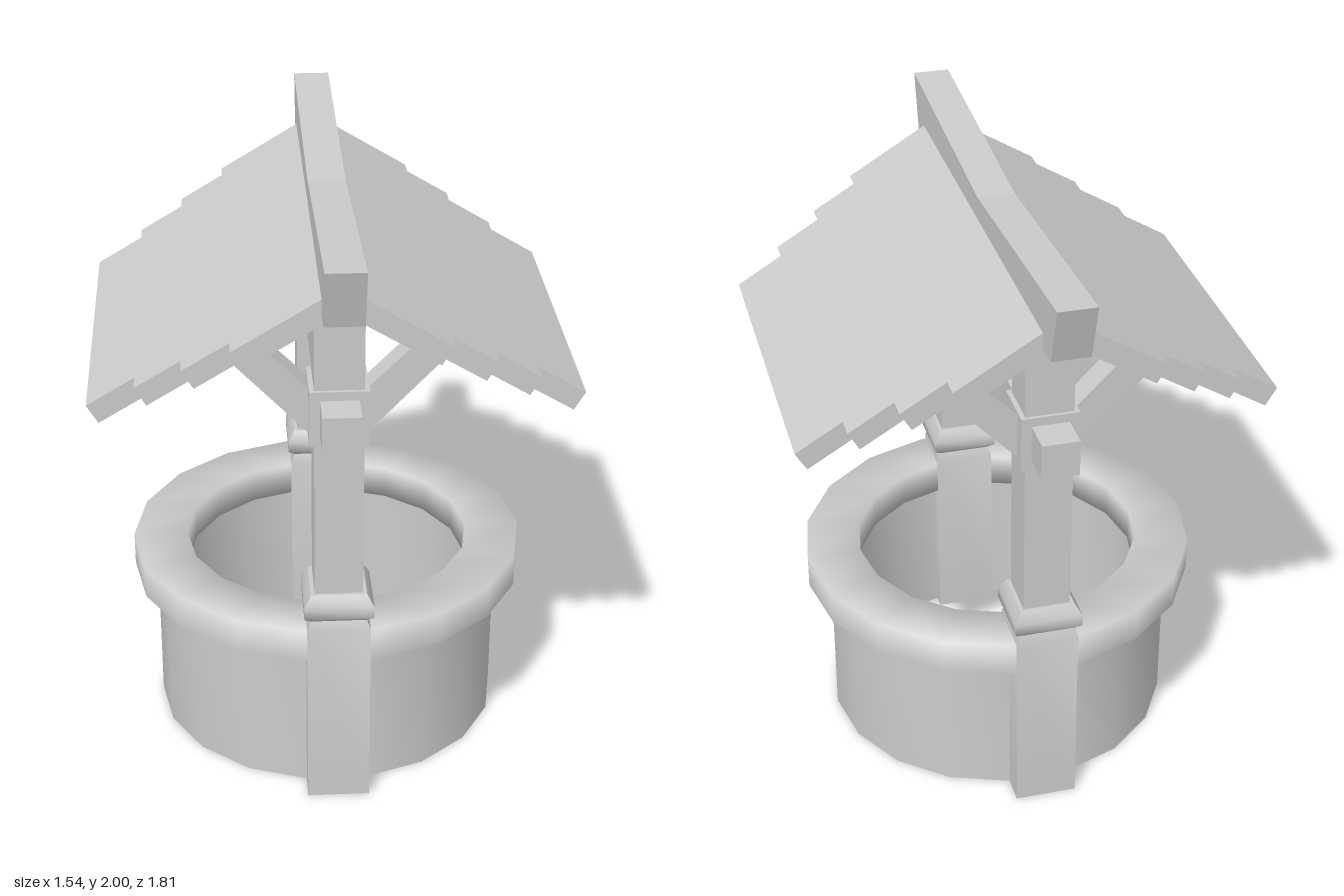
import * as THREE from 'three';
import { toCreasedNormals } from 'three/addons/utils/BufferGeometryUtils.js';

const smooth = new THREE.MeshStandardMaterial({ color: 0xcccccc });
const flat = new THREE.MeshStandardMaterial({ color: 0xcccccc, flatShading: true });
const POST_Z = 0.565;

function add(parent, name, geometry, material = flat) {
  const mesh = new THREE.Mesh(geometry, material);
  mesh.name = name;
  parent.add(mesh);
  return mesh;
}

function box(parent, name, w, h, d, x, y, z) {
  const mesh = add(parent, name, new THREE.BoxGeometry(w, h, d));
  mesh.position.set(x, y, z);
  return mesh;
}

const toVectors = (points) => points.map(([x, y]) => new THREE.Vector2(x, y));

// Outline in x/y, extruded symmetrically along z
function slab(points, depth) {
  const geometry = new THREE.ExtrudeGeometry(new THREE.Shape(toVectors(points)), { depth, bevelEnabled: false });
  return geometry.translate(0, 0, -depth / 2);
}

// Closed ring of rectangular section
function ring(inner, outer, y0, y1) {
  const profile = toVectors([[outer, y0], [outer, y1], [inner, y1], [inner, y0], [outer, y0]]);
  return new THREE.LatheGeometry(profile, 18, Math.PI / 2).scale(1, 1, 0.985);
}

// Square column from [half width, y] pairs, with closed ends
function squareColumn(profile) {
  const points = profile.map(([half, y]) => [half * Math.SQRT2, y]);
  const closed = [[0, profile[0][1]], ...points, [0, profile[profile.length - 1][1]]];
  return toCreasedNormals(new THREE.LatheGeometry(toVectors(closed), 4, Math.PI / 4), 0.9);
}

function createPost(side) {
  const post = new THREE.Group();
  post.name = side > 0 ? 'frontPost' : 'backPost';
  post.position.z = side * POST_Z;
  add(post, 'postBase', squareColumn([[0.102, 0], [0.102, 0.655], [0.088, 0.69]]), smooth);
  add(post, 'postCollar', squareColumn([[0.09, 0.685], [0.112, 0.705], [0.112, 0.745], [0.09, 0.782]]), smooth);
  box(post, 'postShaft', 0.155, 1.1, 0.158, 0, 1.28, 0);
  box(post, 'beamBracket', 0.186, 0.185, 0.182, 0, 1.412, 0);
  // Diagonal braces under the roof
  const outline = [[0.05, 1.3], [0.35, 1.615], [0.265, 1.67], [0.05, 1.455]];
  add(post, 'leftBrace', slab(outline, 0.09));
  add(post, 'rightBrace', slab(outline.map(([x, y]) => [-x, y]).reverse(), 0.09));
  return post;
}

// One roof slope: stepped outline laid along the slope, narrower towards the eave
function roofSlope() {
  const steps = [[0.385, 0.765], [0.554, 0.7], [0.723, 0.63], [0.899, 0.56]];
  const edge = [];
  let start = 0;
  for (const [end, half] of steps) {
    edge.push([start, half], [end, half]);
    start = end;
  }
  const mirrored = edge.map(([s, z]) => [s, -z]).reverse();
  const geometry = new THREE.ExtrudeGeometry(
    new THREE.Shape(toVectors([...edge, ...mirrored])), { depth: 0.07, bevelEnabled: false });
  return geometry.rotateX(Math.PI / 2).rotateZ(-0.541).translate(0, 1.896, 0);
}

export function createModel() {
  const model = new THREE.Group();
  model.name = 'well';

  // Round basin, open at the bottom
  add(model, 'basinWall', ring(0.53, 0.592, 0, 0.56), toCreasedMaterial());
  add(model, 'basinRim', ring(0.485, 0.67, 0.53, 0.645), smooth);

  for (const side of [1, -1]) model.add(createPost(side));
  box(model, 'crossBeam', 0.12, 0.12, 1.54, 0, 1.415, 0);

  // Roof
  add(model, 'leftRoof', roofSlope());
  add(model, 'rightRoof', roofSlope()).rotation.y = Math.PI;

  // Ridge beam with a sagging top and slanted ends
  const ridge = [[-0.85, 1.81], [0.85, 1.81], [0.905, 2], [0, 1.935], [-0.905, 2]];
  add(model, 'ridgeBeam', slab(ridge, 0.122)).rotation.y = Math.PI / 2;

  // Keep the wall's faces round and its edges sharp
  const wall = model.getObjectByName('basinWall');
  wall.geometry = toCreasedNormals(wall.geometry, 0.7);
  return model;
}

function toCreasedMaterial() {
  return smooth;
}
